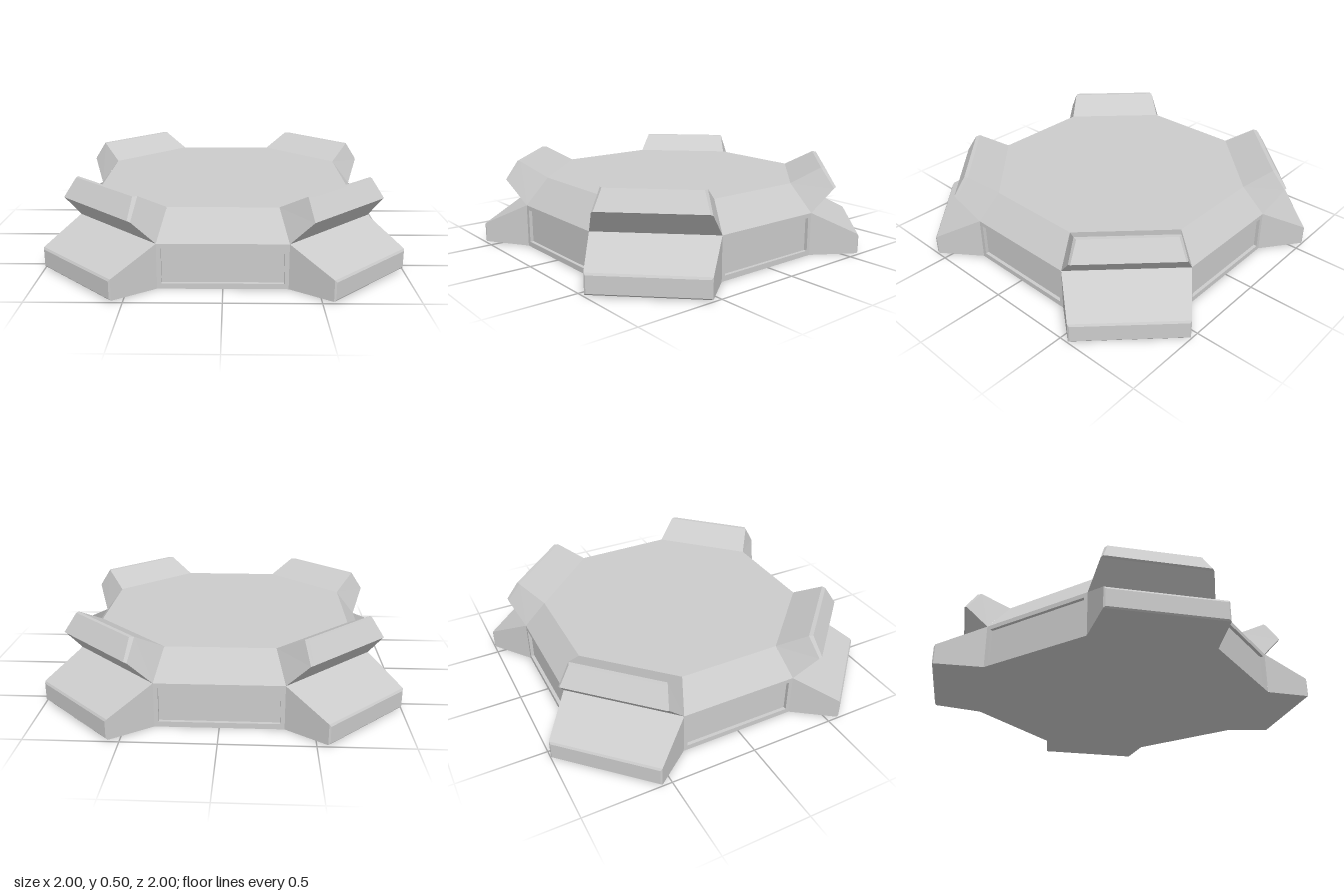
import * as THREE from 'three';

const TAN = Math.tan(Math.PI / 8); // half side of an octagon per unit of apothem
const material = new THREE.MeshStandardMaterial({ color: 0xcccccc, flatShading: true });

function part(name, geometry) {
  const mesh = new THREE.Mesh(geometry, material);
  mesh.name = name;
  return mesh;
}

// Flat polygons (lists of [x, y, z] corners) joined into one geometry
function polygons(faces) {
  const pos = [];
  for (const f of faces)
    for (let i = 1; i < f.length - 1; i++) pos.push(...f[0], ...f[i], ...f[i + 1]);
  const g = new THREE.BufferGeometry();
  g.setAttribute('position', new THREE.Float32BufferAttribute(pos, 3));
  g.computeVertexNormals();
  return g;
}

// Mirrored block from a six-point profile of [halfWidth, y, z].
// Points 2 and 3 bound the chamfered outer face; the inner side stays open.
function chamferedBlock(profile) {
  const R = profile;
  const L = profile.map(([x, y, z]) => [-x, y, z]);
  const faces = [];
  for (let i = 0; i < 5; i++) faces.push([L[i], R[i], R[i + 1], L[i + 1]]);
  for (const loop of [[0, 5, 4, 1], [1, 4, 3, 2]]) {
    faces.push(loop.map(i => R[i]));
    faces.push([...loop].reverse().map(i => L[i]));
  }
  return polygons(faces);
}

// Horizontal octagon with flats facing the axes
function octagon(name, apothem, y, up) {
  const g = new THREE.CircleGeometry(apothem / Math.cos(Math.PI / 8), 8, Math.PI / 8);
  g.rotateX(up ? -Math.PI / 2 : Math.PI / 2);
  g.translate(0, y, 0);
  return part(name, g);
}

// Straight side: framed wall, recessed panel and sloping shoulder
function straightSide() {
  const side = new THREE.Group();
  side.name = 'straightSide';
  const A = 0.83, D = 0.71, depth = 0.02, w = A * TAN, d = D * TAN;

  const wall = new THREE.Shape([[-w, 0], [w, 0], [w, 0.25], [-w, 0.25]].map(p => new THREE.Vector2(...p)));
  wall.holes.push(new THREE.Path(
    [[-0.32, 0.03], [-0.32, 0.225], [0.32, 0.225], [0.32, 0.03]].map(p => new THREE.Vector2(...p))));
  const frame = new THREE.ExtrudeGeometry(wall, { depth, bevelEnabled: false });
  frame.translate(0, 0, A - depth);
  side.add(part('wallFrame', frame));

  const panel = new THREE.PlaneGeometry(0.64, 0.195);
  panel.translate(0, 0.1275, A - depth);
  side.add(part('recessedPanel', panel));

  side.add(part('shoulder', polygons([[[-w, 0.25, A], [w, 0.25, A], [d, 0.41, D], [-d, 0.41, D]]])));
  return side;
}

// Diagonal corner: sloping foot below, overhanging parapet above
function corner() {
  const group = new THREE.Group();
  group.name = 'corner';
  group.add(part('foot', chamferedBlock([
    [0.344, 0, 0.83], [0.314, 0.01, 1.1], [0.305, 0.018, 1.107],
    [0.305, 0.113, 1.107], [0.314, 0.125, 1.1], [0.344, 0.25, 0.83],
  ])));
  group.add(part('parapet', chamferedBlock([
    [0.344, 0.25, 0.83], [0.302, 0.385, 0.955], [0.29, 0.392, 0.967],
    [0.257, 0.5, 0.902], [0.27, 0.5, 0.88], [0.294, 0.41, 0.71],
  ])));
  return group;
}

export function createModel() {
  const model = new THREE.Group();
  model.name = 'octagonalPlatform';
  model.add(octagon('deck', 0.71, 0.41, true));
  model.add(octagon('underside', 0.83, 0, false));
  for (let i = 0; i < 4; i++) {
    const side = straightSide();
    side.rotation.y = i * Math.PI / 2;
    const diagonal = corner();
    diagonal.rotation.y = (i + 0.5) * Math.PI / 2;
    model.add(side, diagonal);
  }
  return model;
}
